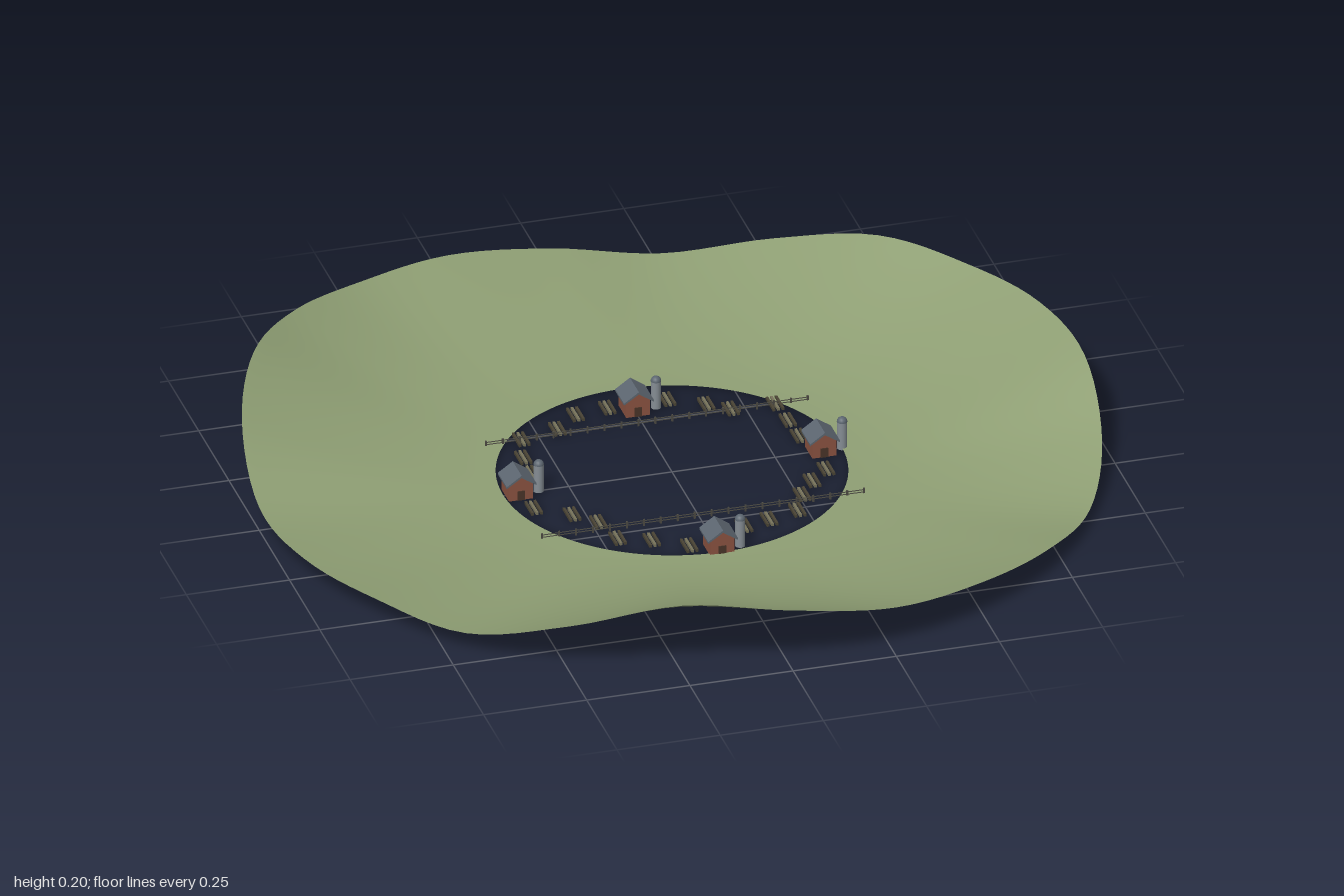
import * as THREE from 'three';
import { mergeVertices } from 'three/addons/utils/BufferGeometryUtils.js';

const mat = (color, side = THREE.FrontSide) => new THREE.MeshStandardMaterial({ color, side });
const MATS = {
  grass: mat(0x8f9f74, THREE.DoubleSide),
  brick: mat(0x8a5240),
  roof: mat(0x5c6670),
  silo: mat(0x858d94),
  door: mat(0x4a3428),
  soil: mat(0x4a4434),
  crop: mat(0x77735a),
  fence: mat(0x4c4a42),
};

function add(parent, name, geometry, material, x = 0, y = 0, z = 0) {
  const mesh = new THREE.Mesh(geometry, material);
  mesh.name = name;
  mesh.position.set(x, y, z);
  parent.add(mesh);
  return mesh;
}

// Rim heights every 15 degrees, from +x towards +z
const RIM = [0.155, 0.075, 0.03, 0.06, 0.088, 0.11, 0.16, 0.195, 0.125, 0.055, 0.062, 0.055,
  0.06, 0.145, 0.19, 0.165, 0.125, 0.105, 0.065, 0.03, 0.085, 0.145, 0.152, 0.165];

function rimHeight(angle) {
  const n = RIM.length;
  const s = ((angle / (2 * Math.PI)) * n + n) % n;
  const i = Math.floor(s), f = s - i;
  const [a, b, c, d] = [-1, 0, 1, 2].map((k) => RIM[(i + k + n) % n]);
  return b + 0.5 * f * (c - a + f * (2 * a - 5 * b + 4 * c - d + f * (3 * (b - c) + d - a)));
}

// Rolling hills: a flat ring lifted towards its wavy rim
function makeHills() {
  const inner = 0.41;
  let geo = new THREE.RingGeometry(inner, 1, 144, 24).rotateX(-Math.PI / 2);
  geo.deleteAttribute('uv');
  const p = geo.attributes.position;
  for (let i = 0; i < p.count; i++) {
    const x = p.getX(i), z = p.getZ(i);
    const t = Math.max(0, (Math.hypot(x, z) - inner) / (1 - inner));
    p.setY(i, 0.004 + (rimHeight(Math.atan2(z, x)) - 0.004) * Math.pow(t, 1.9));
  }
  geo.deleteAttribute('normal');
  geo = mergeVertices(geo, 1e-5);
  geo.computeVertexNormals();
  return geo;
}

// Barn with gabled walls, pitched roof, door and a domed silo
function makeBarn() {
  const barn = new THREE.Group();
  barn.name = 'barn';
  const w = 0.029, wall = 0.04, ridge = 0.06, len = 0.062;
  const gable = new THREE.Shape([[-w, 0], [w, 0], [w, wall], [0, ridge], [-w, wall]]
    .map(([x, y]) => new THREE.Vector2(x, y)));
  add(barn, 'barnWalls', new THREE.ExtrudeGeometry(gable, { depth: len, bevelEnabled: false }),
    MATS.brick, 0, 0, -len / 2);
  const chevron = new THREE.Shape([[-0.036, 0.037], [0, 0.061], [0.036, 0.037],
    [0.036, 0.042], [0, 0.067], [-0.036, 0.042]].map(([x, y]) => new THREE.Vector2(x, y)));
  add(barn, 'barnRoof', new THREE.ExtrudeGeometry(chevron, { depth: 0.074, bevelEnabled: false }),
    MATS.roof, 0, 0, -0.037);
  add(barn, 'barnDoor', new THREE.BoxGeometry(0.018, 0.024, 0.002), MATS.door, 0, 0.012, len / 2 + 0.001);
  add(barn, 'silo', new THREE.CylinderGeometry(0.012, 0.012, 0.07, 16), MATS.silo, 0.052, 0.035, 0);
  add(barn, 'siloDome', new THREE.SphereGeometry(0.0125, 16, 6, 0, Math.PI * 2, 0, Math.PI / 2),
    MATS.roof, 0.052, 0.07, 0);
  return barn;
}

// Crop plot: alternating low rows along z
function makePlot() {
  const plot = new THREE.Group();
  plot.name = 'cropPlot';
  [-0.011, 0, 0.011].forEach((x, i) => {
    add(plot, 'cropRow', new THREE.BoxGeometry(0.006, 0.007, 0.06),
      i === 1 ? MATS.crop : MATS.soil, x, 0.0055, 0);
  });
  return plot;
}

// Post and rail fence along x
function makeFence() {
  const fence = new THREE.Group();
  fence.name = 'fence';
  const length = 0.78, count = 20;
  for (const y of [0.007, 0.013]) {
    add(fence, 'fenceRail', new THREE.BoxGeometry(length, 0.0015, 0.002), MATS.fence, 0, y, 0);
  }
  for (let i = 0; i < count; i++) {
    add(fence, 'fencePost', new THREE.BoxGeometry(0.004, 0.017, 0.004), MATS.fence,
      (i / (count - 1) - 0.5) * length, 0.0085, 0);
  }
  return fence;
}

export function createModel() {
  const model = new THREE.Group();
  model.name = 'farmValley';
  add(model, 'hills', makeHills(), MATS.grass);

  for (const [x, z] of [[0, -0.31], [-0.375, 0], [0.36, 0], [0, 0.385]]) {
    const barn = makeBarn();
    barn.position.set(x, 0, z);
    model.add(barn);
  }

  // Plots scattered round the valley floor
  const plots = [[-0.06, -0.33], [-0.14, -0.32], [-0.2, -0.265], [-0.295, -0.24], [-0.315, -0.155],
    [-0.32, -0.08], [-0.36, 0.085], [-0.283, 0.14], [-0.235, 0.193], [-0.214, 0.28], [-0.14, 0.31],
    [-0.064, 0.36], [0.085, 0.305], [0.15, 0.29], [0.225, 0.267], [0.257, 0.198], [0.298, 0.14],
    [0.345, 0.095], [0.33, -0.075], [0.326, -0.155], [0.32, -0.24], [0.214, -0.245],
    [0.166, -0.283], [0.085, -0.33]];
  for (const [x, z] of plots) {
    const plot = makePlot();
    plot.position.set(x, 0, z);
    model.add(plot);
  }

  for (const z of [-0.235, 0.23]) {
    const fence = makeFence();
    fence.position.set(0.008, 0, z);
    model.add(fence);
  }
  return model;
}
